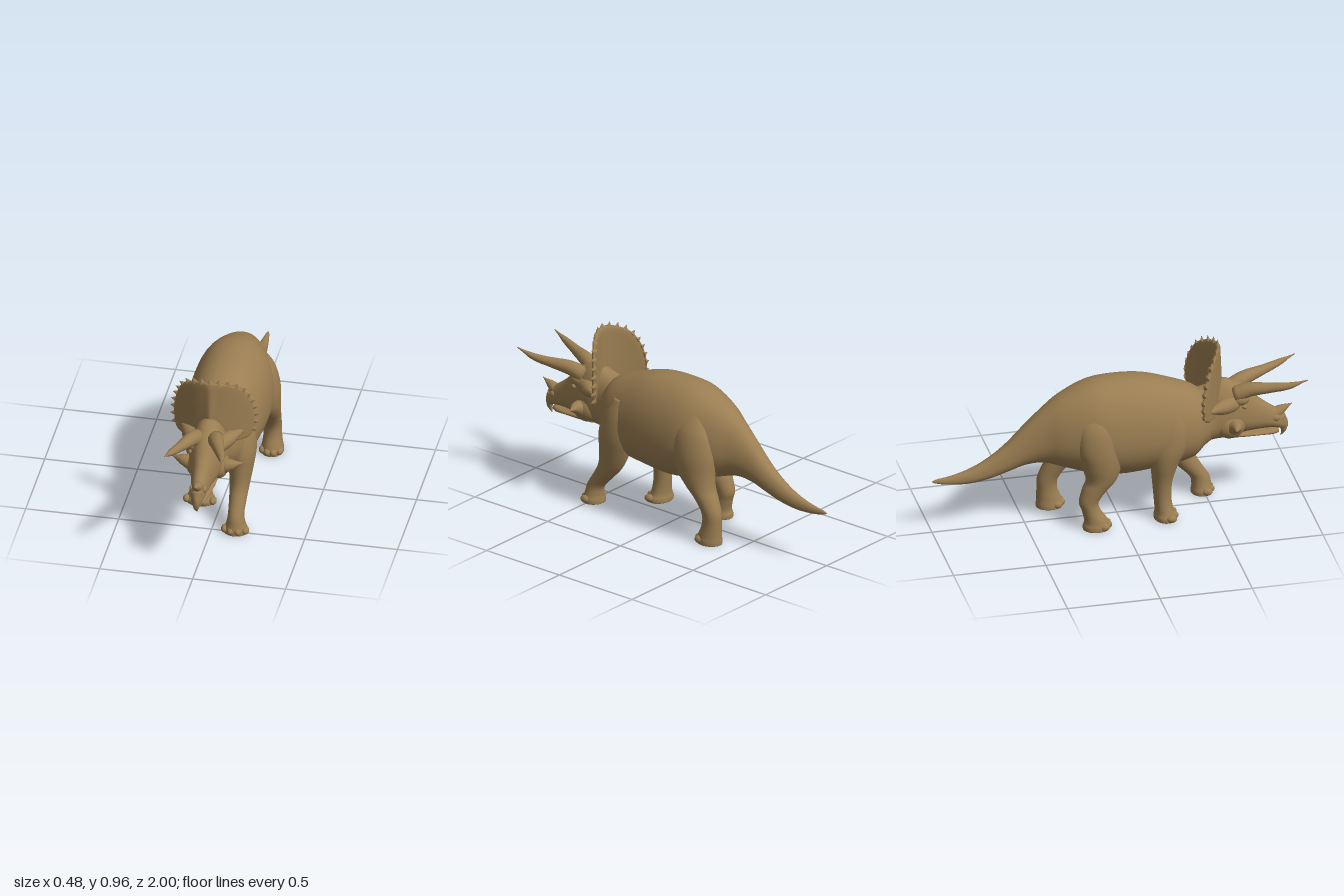
import * as THREE from 'three';

const V = (x, y, z) => new THREE.Vector3(x, y, z);
const hide = new THREE.MeshStandardMaterial({ color: 0x9b7e52 });
hide.name = 'tan hide';

// Smoothly interpolates rows of numbers
function refine(rows, steps = 5) {
  const out = [], at = i => rows[Math.min(Math.max(i, 0), rows.length - 1)];
  for (let i = 0; i < rows.length - 1; i++) {
    for (let k = 0; k < steps; k++) {
      const t = k / steps;
      out.push(rows[i].map((p1, c) => {
        const p0 = at(i - 1)[c], p2 = at(i + 1)[c], p3 = at(i + 2)[c];
        return p1 + 0.5 * t * (p2 - p0 + t * (2 * p0 - 5 * p1 + 4 * p2 - p3 + t * (3 * (p1 - p2) + p3 - p0)));
      }));
    }
  }
  out.push(rows[rows.length - 1]);
  return out;
}

// Closed smooth skin over rings of points, with both ends capped
function skin(rings) {
  const n = rings[0].length, pos = [], idx = [];
  rings.forEach(r => r.forEach(p => pos.push(p.x, p.y, p.z)));
  for (let i = 0; i < rings.length - 1; i++) {
    for (let j = 0; j < n; j++) {
      const a = i * n + j, b = i * n + (j + 1) % n;
      idx.push(a, b, a + n, b, b + n, a + n);
    }
  }
  [0, rings.length - 1].forEach((r, end) => {
    const c = rings[r].reduce((s, p) => s.add(p), V(0, 0, 0)).divideScalar(n), ci = pos.length / 3;
    pos.push(c.x, c.y, c.z);
    for (let j = 0; j < n; j++) {
      const a = r * n + j, b = r * n + (j + 1) % n;
      idx.push(...(end ? [ci, a, b] : [ci, b, a]));
    }
  });
  // Turn the faces outward if the enclosed volume is negative
  const P = i => V(pos[3 * i], pos[3 * i + 1], pos[3 * i + 2]);
  let vol = 0;
  for (let i = 0; i < idx.length; i += 3) vol += P(idx[i]).dot(P(idx[i + 1]).cross(P(idx[i + 2])));
  if (vol < 0) idx.reverse();
  const g = new THREE.BufferGeometry();
  g.setAttribute('position', new THREE.Float32BufferAttribute(pos, 3));
  g.setIndex(idx);
  g.computeVertexNormals();
  return g;
}

const loop = (n, f) => Array.from({ length: n }, (_, i) => f(i / n * Math.PI * 2));

// Egg-shaped sections along z: [z, top, bottom, half width]
function trunk(rows, belly) {
  return skin(refine(rows).map(([z, top, bot, w]) => {
    const mid = bot + (top - bot) * belly;
    return loop(40, a => {
      const c = Math.cos(a), s = Math.sin(a);
      return V(w * Math.sign(c) * Math.abs(c) ** 0.9, mid + s * (s > 0 ? top - mid : mid - bot), z);
    });
  }));
}

// Upright limb: [y, x, x radius, z, z radius]
const limb = rows => skin(refine(rows).map(([y, x, rx, z, rz]) =>
  loop(28, a => V(x + rx * Math.cos(a), y, z + rz * Math.sin(a)))));

// Tapering horn along a curve
function horn(points, radii) {
  const n = 18, curve = new THREE.CatmullRomCurve3(points.map(p => V(...p)));
  const fr = curve.computeFrenetFrames(n), rs = refine(radii.map(r => [r]), 12);
  return skin(fr.normals.map((nor, i) => {
    const r = rs[Math.round(i / n * (rs.length - 1))][0], c = curve.getPointAt(i / n);
    return loop(16, a => c.clone().addScaledVector(nor, r * Math.cos(a)).addScaledVector(fr.binormals[i], r * Math.sin(a)));
  }));
}

export function createModel() {
  const model = new THREE.Group();
  const add = (name, geo, parent = model) => {
    const m = new THREE.Mesh(geo, hide);
    m.name = name;
    parent.add(m);
    return m;
  };
  const ball = (name, p, s, parent) => {
    const m = add(name, new THREE.SphereGeometry(1, 20, 14), parent);
    m.position.set(...p);
    m.scale.set(...s);
    return m;
  };

  // Body and tail
  add('bodyAndTail', trunk([
    [0.53, 0.63, 0.4, 0.08], [0.46, 0.67, 0.36, 0.125], [0.4, 0.71, 0.31, 0.165], [0.3, 0.75, 0.285, 0.19],
    [0.15, 0.797, 0.268, 0.21], [0, 0.81, 0.26, 0.217], [-0.15, 0.797, 0.28, 0.205], [-0.3, 0.735, 0.325, 0.15],
    [-0.4, 0.665, 0.355, 0.1], [-0.5, 0.575, 0.35, 0.07], [-0.6, 0.475, 0.318, 0.055], [-0.7, 0.4, 0.287, 0.043],
    [-0.8, 0.35, 0.271, 0.032], [-0.9, 0.322, 0.274, 0.02], [-0.97, 0.312, 0.286, 0.01], [-1, 0.302, 0.297, 0.002],
  ], 0.42));

  // Neck, skull and lower jaw
  add('skull', trunk([
    [0.42, 0.68, 0.36, 0.13], [0.5, 0.7, 0.385, 0.105], [0.57, 0.73, 0.39, 0.1], [0.64, 0.705, 0.405, 0.092],
    [0.7, 0.665, 0.41, 0.077], [0.76, 0.6, 0.413, 0.058], [0.82, 0.55, 0.413, 0.047], [0.87, 0.515, 0.405, 0.038],
    [0.905, 0.485, 0.395, 0.026], [0.925, 0.44, 0.4, 0.008],
  ], 0.35));
  add('lowerJaw', trunk([
    [0.58, 0.44, 0.385, 0.06], [0.68, 0.42, 0.383, 0.058], [0.77, 0.407, 0.378, 0.045],
    [0.84, 0.403, 0.37, 0.03], [0.875, 0.398, 0.372, 0.012],
  ], 0.5));
  add('hookedBeak', horn([[0, 0.47, 0.88], [0, 0.42, 0.9], [0, 0.385, 0.903], [0, 0.353, 0.888]], [0.032, 0.026, 0.017, 0.002]));
  add('noseHorn', horn([[0, 0.485, 0.85], [0, 0.51, 0.895], [0, 0.537, 0.95]], [0.035, 0.022, 0.002]));

  // Brow horns, cheek horns, eyes and brows
  for (const s of [1, -1]) {
    const side = s > 0 ? 'left' : 'right';
    add(side + 'BrowHorn', horn(
      [[s * 0.045, 0.65, 0.63], [s * 0.066, 0.68, 0.7], [s * 0.1, 0.695, 0.8], [s * 0.133, 0.712, 0.9], [s * 0.153, 0.745, 1]],
      [0.045, 0.038, 0.027, 0.018, 0.002]));
    add(side + 'CheekHorn', horn(
      [[s * 0.07, 0.475, 0.61], [s * 0.12, 0.493, 0.62], [s * 0.192, 0.503, 0.605]], [0.05, 0.03, 0.002]));
    ball(side + 'Brow', [s * 0.07, 0.625, 0.655], [0.025, 0.03, 0.045]);
    ball(side + 'Eye', [s * 0.078, 0.585, 0.675], [0.012, 0.013, 0.015]);
    ball(side + 'Nostril', [s * 0.034, 0.475, 0.855], [0.012, 0.018, 0.022]);
    ball(side + 'Cheek', [s * 0.065, 0.475, 0.6], [0.05, 0.07, 0.08]);
    add(side + 'FrillRoot', horn([[s * 0.05, 0.6, 0.62], [s * 0.1, 0.61, 0.55], [s * 0.16, 0.62, 0.47]], [0.045, 0.04, 0.012]));
  }

  // Swept-back frill with a middle ridge
  const half = [[0.13, 0.567], [0.195, 0.578], [0.217, 0.66], [0.211, 0.74], [0.189, 0.82], [0.148, 0.886], [0.08, 0.926]];
  const rim = new THREE.CatmullRomCurve3([[0, 0.58], ...half, [0, 0.94], ...half.slice().reverse().map(([x, y]) => [-x, y])]
    .map(([x, y]) => V(x, y, 0)), true);
  const sweep = x => 0.545 - 0.135 * (Math.abs(x) / 0.23) ** 1.6;
  const outline = rim.getSpacedPoints(96).slice(0, 96);
  const frillRing = (s, off, ridge) => outline.map(p => {
    const x = p.x * s, y = 0.68 + (p.y - 0.68) * s;
    return V(x, y, sweep(x) + off + ridge * Math.exp(-((x / 0.025) ** 2)));
  });
  const scales = [0.1, 0.3, 0.5, 0.7, 0.85, 0.96];
  add('frill', skin([
    ...scales.map(s => frillRing(s, -0.018 + 0.006 * s, 0)),
    frillRing(1, -0.004, 0), frillRing(1, 0.006, 0),
    ...scales.slice().reverse().map(s => frillRing(s, 0.014 - 0.004 * s, 0.012 * (1 - s * 0.6))),
  ]));

  // Bony points around the frill
  const points = new THREE.Group();
  points.name = 'frillPoints';
  model.add(points);
  for (let i = 0; i < 21; i++) {
    const u = 0.17 + 0.66 * i / 20, p = rim.getPointAt(u), t = rim.getTangentAt(u);
    const m = add('frillPoint', new THREE.ConeGeometry(0.02, 0.034, 12), points);
    m.position.set(p.x, p.y, sweep(p.x)).addScaledVector(V(t.y, -t.x, 0), 0.006);
    m.rotation.z = Math.atan2(-t.x, t.y) - Math.PI / 2;
    m.scale.z = 0.6;
  }

  // Striding legs
  add('leftFrontLeg', limb([
    [0.64, 0.12, 0.04, 0.3, 0.05], [0.55, 0.13, 0.064, 0.315, 0.09], [0.43, 0.135, 0.072, 0.335, 0.105],
    [0.33, 0.13, 0.066, 0.35, 0.092], [0.24, 0.128, 0.054, 0.375, 0.075], [0.17, 0.127, 0.047, 0.422, 0.063],
    [0.1, 0.127, 0.043, 0.476, 0.052], [0.05, 0.128, 0.052, 0.488, 0.053], [0.02, 0.128, 0.064, 0.49, 0.058], [0, 0.128, 0.064, 0.49, 0.058],
  ]));
  add('rightFrontLeg', limb([
    [0.64, -0.12, 0.04, 0.28, 0.05], [0.55, -0.13, 0.064, 0.27, 0.09], [0.43, -0.135, 0.072, 0.25, 0.1],
    [0.33, -0.125, 0.07, 0.23, 0.075], [0.22, -0.113, 0.057, 0.22, 0.054], [0.12, -0.112, 0.052, 0.222, 0.047],
    [0.05, -0.113, 0.063, 0.23, 0.05], [0.02, -0.113, 0.078, 0.235, 0.059], [0, -0.113, 0.078, 0.235, 0.059],
  ]));
  add('leftHindLeg', limb([
    [0.7, 0.1, 0.04, -0.17, 0.06], [0.6, 0.125, 0.075, -0.18, 0.115], [0.48, 0.135, 0.09, -0.195, 0.135],
    [0.38, 0.14, 0.085, -0.215, 0.118], [0.3, 0.145, 0.072, -0.255, 0.086], [0.24, 0.15, 0.06, -0.3, 0.068],
    [0.17, 0.155, 0.05, -0.338, 0.057], [0.11, 0.157, 0.048, -0.342, 0.055], [0.05, 0.158, 0.055, -0.332, 0.066],
    [0.02, 0.158, 0.061, -0.328, 0.072], [0, 0.158, 0.061, -0.328, 0.072],
  ]));
  add('rightHindLeg', limb([
    [0.7, -0.1, 0.04, -0.13, 0.06], [0.6, -0.13, 0.075, -0.13, 0.11], [0.48, -0.138, 0.09, -0.125, 0.125],
    [0.38, -0.14, 0.085, -0.115, 0.11], [0.29, -0.14, 0.07, -0.115, 0.085], [0.23, -0.14, 0.06, -0.15, 0.07],
    [0.16, -0.142, 0.05, -0.184, 0.053], [0.11, -0.144, 0.048, -0.173, 0.05], [0.05, -0.147, 0.055, -0.147, 0.063],
    [0.02, -0.148, 0.061, -0.145, 0.072], [0, -0.148, 0.061, -0.145, 0.072],
  ]));

  // Toes: foot centre x, front z, half spread
  for (const [x, z, w] of [[0.128, 0.53, 0.055], [-0.113, 0.278, 0.07], [0.158, -0.272, 0.045], [-0.148, -0.088, 0.045]]) {
    for (const k of [-1, -0.35, 0.35, 1]) {
      ball('toe', [x + k * w, 0.021, z - 0.022 * k * k], [0.02, 0.021, 0.028]);
    }
  }
  return model;
}
